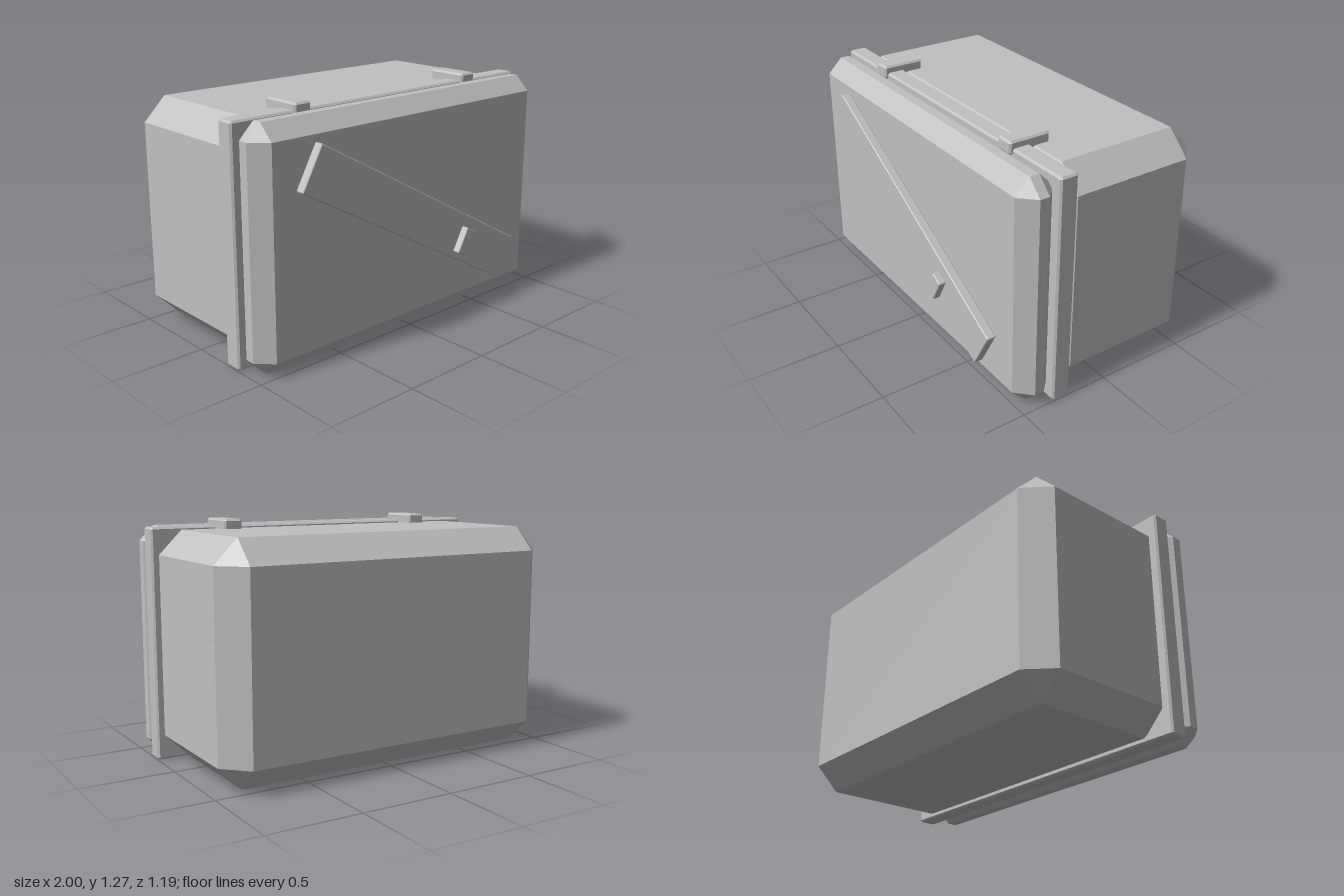
import * as THREE from 'three';
import { ConvexGeometry } from 'three/addons/geometries/ConvexGeometry.js';

const grey = new THREE.MeshStandardMaterial({ color: 0xc0c0c0 });
grey.name = 'plain grey';

// Box with every edge cut at 45 degrees: three points per corner
function chamferBox(w, h, d, c) {
  const points = [];
  for (const sx of [-1, 1]) for (const sy of [-1, 1]) for (const sz of [-1, 1]) {
    for (let axis = 0; axis < 3; axis++) {
      const half = [w / 2, h / 2, d / 2].map((v, i) => (i === axis ? v : v - c));
      points.push(new THREE.Vector3(sx * half[0], sy * half[1], sz * half[2]));
    }
  }
  return new ConvexGeometry(points);
}

export function createModel() {
  const model = new THREE.Group();
  model.name = 'chest';

  function addPart(name, size, chamfer, position, tilt = 0) {
    const mesh = new THREE.Mesh(chamferBox(...size, chamfer), grey);
    mesh.name = name;
    mesh.position.set(...position);
    mesh.rotation.z = tilt;
    model.add(mesh);
  }

  // Main body, rim and front lid
  addPart('body', [1.94, 1.203, 0.92], 0.125, [0, 0.618, -0.136]);
  addPart('rim', [2, 1.232, 0.1], 0.01, [0, 0.618, 0.275]);
  addPart('lid', [1.98, 1.235, 0.212], 0.08, [0, 0.618, 0.402]);

  // Hinges over the top of the rim
  for (const side of [-1, 1]) {
    const name = side > 0 ? 'leftHinge' : 'rightHinge';
    addPart(name, [0.1, 0.07, 0.23], 0.01, [side * 0.59, 1.236, 0.226]);
  }

  // Diagonal bar with a small handle near its low end
  const tilt = -0.505;
  addPart('diagonalBar', [1.634, 0.246, 0.05], 0.004, [-0.003, 0.618, 0.532], tilt);
  addPart('handle', [0.075, 0.146, 0.042], 0.004, [0.333, 0.413, 0.576], tilt);

  return model;
}
